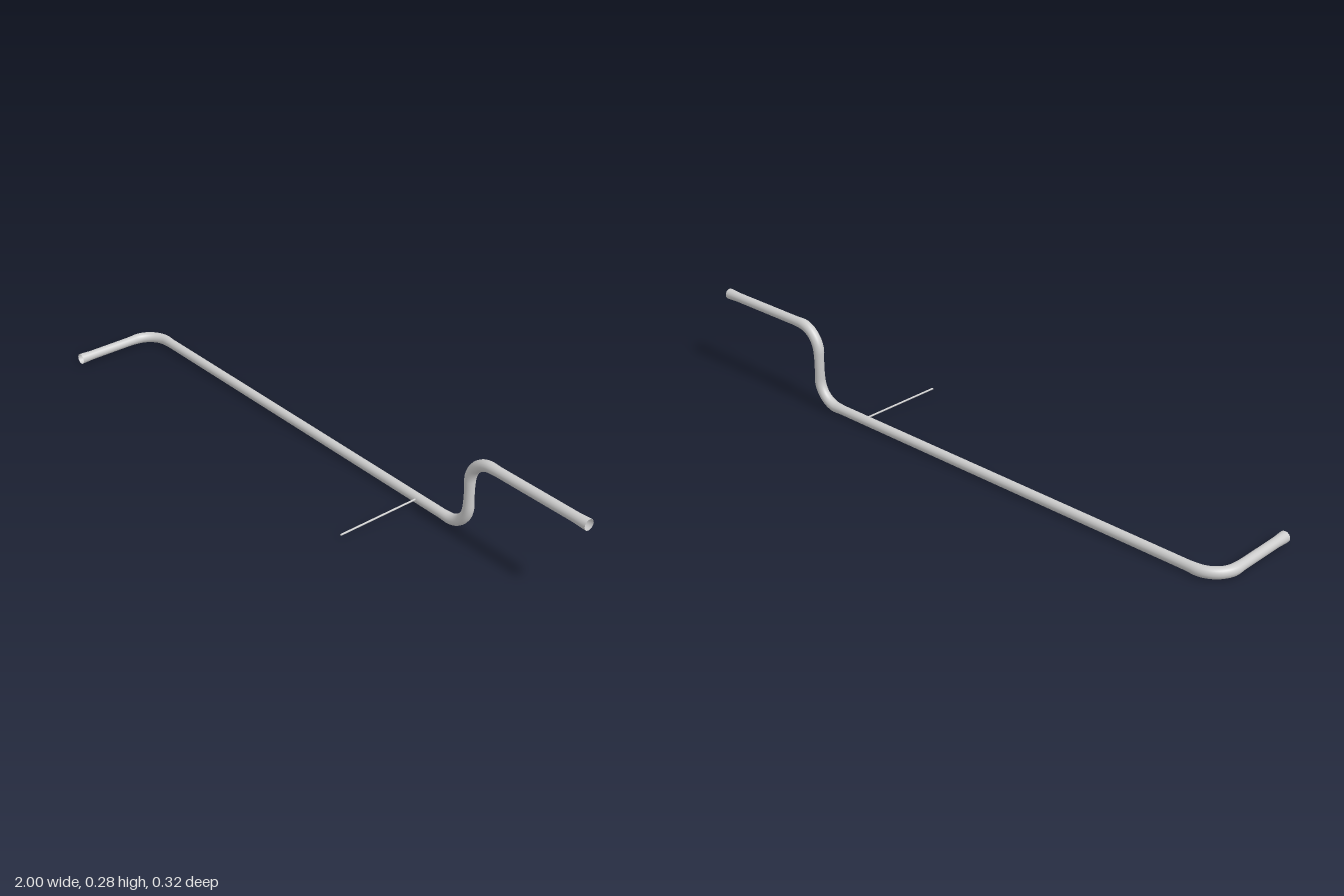
import * as THREE from 'three';

const V = (x, y, z) => new THREE.Vector3(x, y, z);
const RADIUS = 0.0154, SWELL = 0.002, BEND = 0.08;

// Path of straight runs joined by rounded corners
function roundedPath(points, bend) {
  const path = new THREE.CurvePath();
  const k = bend * 0.45; // bezier handle inset for a near-circular corner
  let from = points[0];
  for (let i = 1; i < points.length - 1; i++) {
    const p = points[i];
    const toward = (q, d) => p.clone().addScaledVector(q.clone().sub(p).normalize(), d);
    const a = toward(points[i - 1], bend), b = toward(points[i + 1], bend);
    path.add(new THREE.LineCurve3(from, a));
    path.add(new THREE.CubicBezierCurve3(a, toward(points[i - 1], k), toward(points[i + 1], k), b));
    from = b;
  }
  path.add(new THREE.LineCurve3(from, points[points.length - 1]));
  return path;
}

export function createModel() {
  const group = new THREE.Group();
  const material = new THREE.MeshStandardMaterial({ color: 0xcccccc, side: THREE.DoubleSide });

  // Bent pipe: short forward leg, long run, riser, upper run
  const points = [
    V(-0.983, 0.0185, 0.16), V(-0.983, 0.0185, -0.14), V(0.567, 0.0185, -0.14),
    V(0.567, 0.263, -0.14), V(1, 0.263, -0.14),
  ];
  const path = roundedPath(points, BEND);
  const rings = 320, sides = 16;
  const pipe = new THREE.TubeGeometry(path, rings, RADIUS, sides, false);

  // Swell the pipe slightly through the bends and at the open ends
  const pos = pipe.attributes.position, v = V(0, 0, 0);
  for (let i = 0; i <= rings; i++) {
    const c = path.getPointAt(i / rings);
    let swell = 0;
    points.forEach((p, n) => {
      const isEnd = n === 0 || n === points.length - 1;
      const d = c.distanceTo(p);
      const near = isEnd ? 1 - d / 0.05 : 1 - (d - 0.06) / 0.05;
      swell = Math.max(swell, THREE.MathUtils.smoothstep(near, 0, 1));
    });
    for (let j = 0; j <= sides; j++) {
      const n = i * (sides + 1) + j;
      v.fromBufferAttribute(pos, n).sub(c).multiplyScalar(1 + swell * SWELL / RADIUS).add(c);
      pos.setXYZ(n, v.x, v.y, v.z);
    }
  }
  const pipeMesh = new THREE.Mesh(pipe, material);
  pipeMesh.name = 'bentPipe';
  group.add(pipeMesh);

  // Thin rod standing forward from the long run
  const rod = new THREE.Mesh(new THREE.CylinderGeometry(0.003, 0.003, 0.3, 10), material);
  rod.name = 'thinRod';
  rod.rotation.x = Math.PI / 2;
  rod.position.set(0.365, 0.022, 0.01);
  group.add(rod);

  return group;
}
